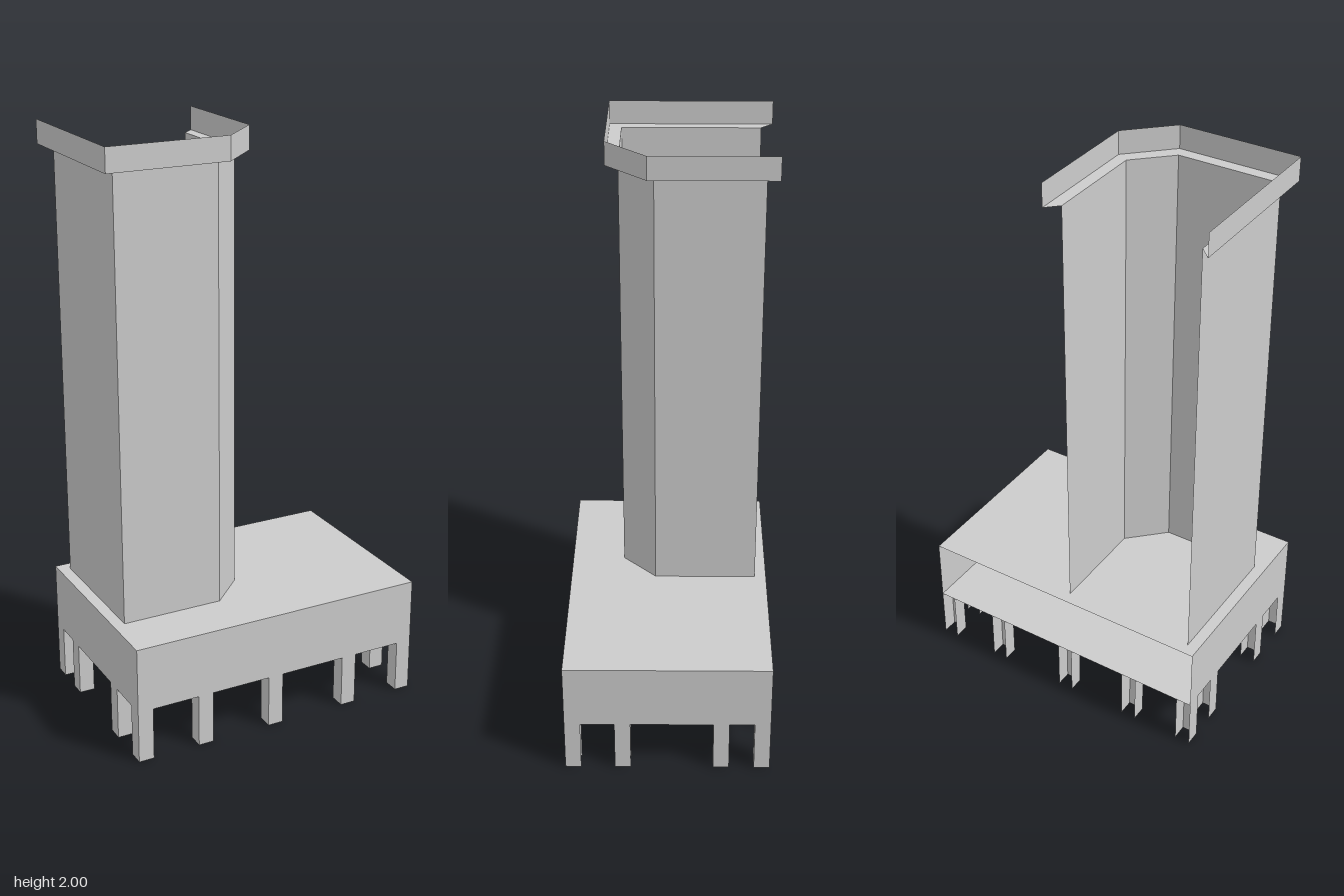
import * as THREE from 'three';

const material = new THREE.MeshStandardMaterial({ color: 0xcccccc, flatShading: true, side: THREE.DoubleSide });

// Open band of flat panels between a lower and an upper path of [x, z] points
function band(name, lower, y0, upper, y1) {
  const p = [];
  for (let i = 0; i < lower.length - 1; i++) {
    const a = [lower[i][0], y0, lower[i][1]];
    const b = [lower[i + 1][0], y0, lower[i + 1][1]];
    const c = [upper[i + 1][0], y1, upper[i + 1][1]];
    const d = [upper[i][0], y1, upper[i][1]];
    p.push(...a, ...b, ...c, ...a, ...c, ...d);
  }
  const geometry = new THREE.BufferGeometry();
  geometry.setAttribute('position', new THREE.Float32BufferAttribute(p, 3));
  geometry.computeVertexNormals();
  const mesh = new THREE.Mesh(geometry, material);
  mesh.name = name;
  return mesh;
}

const wall = (name, path, y0, y1) => band(name, path, y0, path, y1);

// Three-sided outline, open at the back
const channel = (x0, x1, z0, z1) => [[x0, z0], [x0, z1], [x1, z1], [x1, z0]];

function plate(name, y, width, depth, faceUp) {
  const geometry = new THREE.PlaneGeometry(width, depth).rotateX(faceUp ? -Math.PI / 2 : Math.PI / 2);
  const mesh = new THREE.Mesh(geometry, material);
  mesh.name = name;
  mesh.position.y = y;
  return mesh;
}

export function createModel() {
  const model = new THREE.Group();
  const W = 0.527, D = 0.348;
  const legTop = 0.185, baseTop = 0.413, ledgeY = 1.92, topY = 2;

  // Base: open-backed box with top and bottom plates
  const base = new THREE.Group();
  base.name = 'base';
  base.add(
    wall('baseWalls', channel(-W, W, -D, D), legTop, baseTop),
    plate('baseTop', baseTop, 2 * W, 2 * D, true),
    plate('baseBottom', legTop, 2 * W, 2 * D, false)
  );
  model.add(base);

  // Legs: hollow channels around the edge of the base
  const legs = new THREE.Group();
  legs.name = 'legs';
  const s = 0.027;
  const addLeg = (x, z) => legs.add(wall('leg', channel(x - s, x + s, z - s, z + s), 0, legTop));
  for (const x of [-W + s, -0.28, -0.015, 0.275, W - s]) {
    for (const side of [-1, 1]) addLeg(x, side * (D - s));
  }
  for (const z of [0.152, -0.182]) {
    for (const side of [-1, 1]) addLeg(side * (W - s), z);
  }
  model.add(legs);

  // Tower: thin walls with one chamfered corner, open at the back
  const inner = [[-0.487, -0.308], [-0.487, 0.163], [-0.133, 0.163], [-0.015, 0.047], [-0.015, -0.308]];
  const outer = [[-W, -D], [-W, 0.205], [-0.112, 0.205], [0.026, 0.068], [0.026, -D]];
  model.add(
    wall('towerWalls', inner, baseTop, ledgeY),
    band('rimLedge', inner, ledgeY, outer, ledgeY),
    wall('rimWall', outer, ledgeY, topY)
  );
  return model;
}
